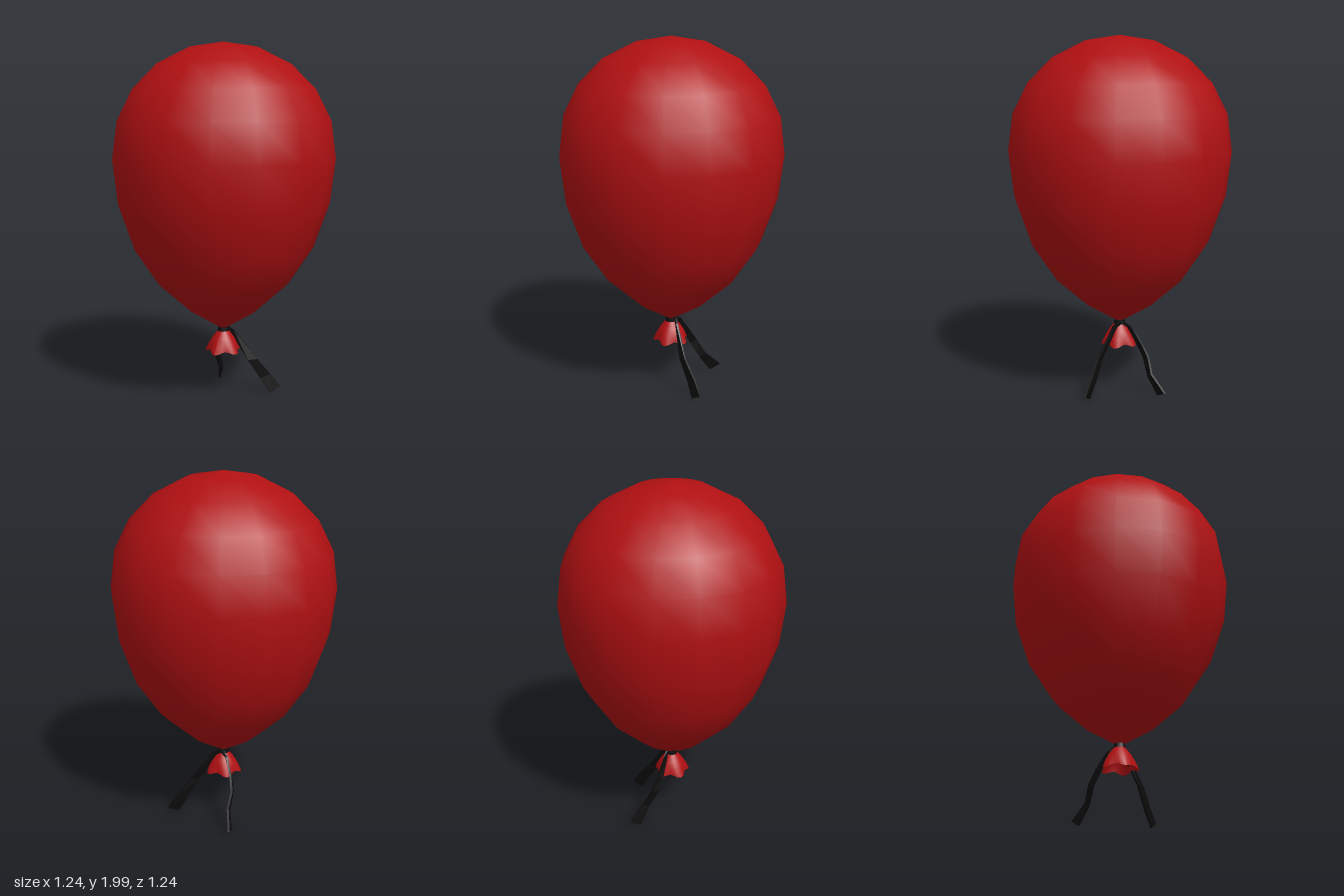
import * as THREE from 'three';

const red = new THREE.MeshStandardMaterial({ color: 0xb01012 });
const redCloth = new THREE.MeshStandardMaterial({ color: 0xb01012, side: THREE.DoubleSide });
const black = new THREE.MeshStandardMaterial({ color: 0x0c0c0c, side: THREE.DoubleSide });

function part(name, geometry, material) {
  const mesh = new THREE.Mesh(geometry, material);
  mesh.name = name;
  return mesh;
}

const profile = (pairs) => pairs.map(([r, y]) => new THREE.Vector2(r, y));

// Flat tapered strip with a little thickness, swept between two edge paths
function ribbonGeometry(inner, outer, thickness = 0.012) {
  const a = inner.map((p) => new THREE.Vector3(...p));
  const b = outer.map((p) => new THREE.Vector3(...p));
  const positions = [], index = [], last = a.length - 1;
  a.forEach((p, i) => {
    const along = a[Math.min(i + 1, last)].clone().sub(a[Math.max(i - 1, 0)]);
    const across = b[i].clone().sub(p);
    const n = along.cross(across).normalize().multiplyScalar(thickness / 2);
    for (const [corner, s] of [[p, 1], [b[i], 1], [b[i], -1], [p, -1]]) {
      positions.push(...corner.clone().addScaledVector(n, s).toArray());
    }
  });
  for (let i = 0; i < last; i++) {
    for (let k = 0; k < 4; k++) {
      const p = i * 4 + k, q = i * 4 + (k + 1) % 4;
      index.push(p, p + 4, q, q, p + 4, q + 4);
    }
  }
  const e = last * 4;
  index.push(0, 1, 2, 0, 2, 3, e, e + 2, e + 1, e, e + 3, e + 2);
  const indexed = new THREE.BufferGeometry();
  indexed.setAttribute('position', new THREE.Float32BufferAttribute(positions, 3));
  indexed.setIndex(index);
  const geometry = indexed.toNonIndexed();
  geometry.computeVertexNormals();
  return geometry;
}

// Flared neck with a wavy, scalloped hem
function skirtGeometry() {
  const geometry = new THREE.LatheGeometry(
    profile([[0.094, 0.268], [0.082, 0.305], [0.06, 0.345], [0.025, 0.39]]), 30);
  const pos = geometry.attributes.position;
  for (let i = 0; i < pos.count; i++) {
    const x = pos.getX(i), y = pos.getY(i), z = pos.getZ(i);
    const flare = (0.39 - y) / 0.122;
    const wave = Math.cos(5 * Math.atan2(x, z)) * flare * flare;
    const s = 1 + 0.12 * wave;
    pos.setXYZ(i, x * s, y - 0.008 * wave, z * s);
  }
  geometry.computeVertexNormals();
  return geometry;
}

export function createModel() {
  const model = new THREE.Group();
  model.name = 'balloon';

  // Inflated body
  const body = profile([
    [0, 0.39], [0.19, 0.505], [0.37, 0.668], [0.505, 0.872], [0.592, 1.125], [0.62, 1.368],
    [0.592, 1.575], [0.505, 1.745], [0.37, 1.88], [0.19, 1.97], [0, 2],
  ]);
  model.add(part('balloonBody', new THREE.LatheGeometry(body, 16), red));

  // Neck below the knot
  model.add(part('neckSkirt', skirtGeometry(), redCloth));

  // Tie wound around the neck
  const tie = new THREE.CylinderGeometry(0.03, 0.034, 0.032, 12);
  tie.translate(0, 0.387, 0);
  model.add(part('tie', tie, black));

  // Two loose ribbon ends
  model.add(part('leftRibbon', ribbonGeometry(
    [[0, 0.385, -0.028], [0.03, 0.368, -0.032], [0.127, 0.207, -0.06], [0.185, 0.093, -0.108], [0.233, 0.006, -0.138]],
    [[0.01, 0.402, -0.03], [0.05, 0.38, -0.038], [0.17, 0.21, -0.095], [0.228, 0.115, -0.15], [0.275, 0.038, -0.185]],
  ), black));
  model.add(part('rightRibbon', ribbonGeometry(
    [[0, 0.385, -0.028], [-0.036, 0.365, -0.04], [-0.08, 0.27, -0.073], [-0.108, 0.195, -0.105], [-0.112, 0.1, -0.165], [-0.148, 0.006, -0.224]],
    [[-0.01, 0.402, -0.03], [-0.046, 0.375, -0.055], [-0.092, 0.285, -0.105], [-0.118, 0.212, -0.145], [-0.118, 0.125, -0.2], [-0.163, 0.037, -0.285]],
  ), black));

  return model;
}
